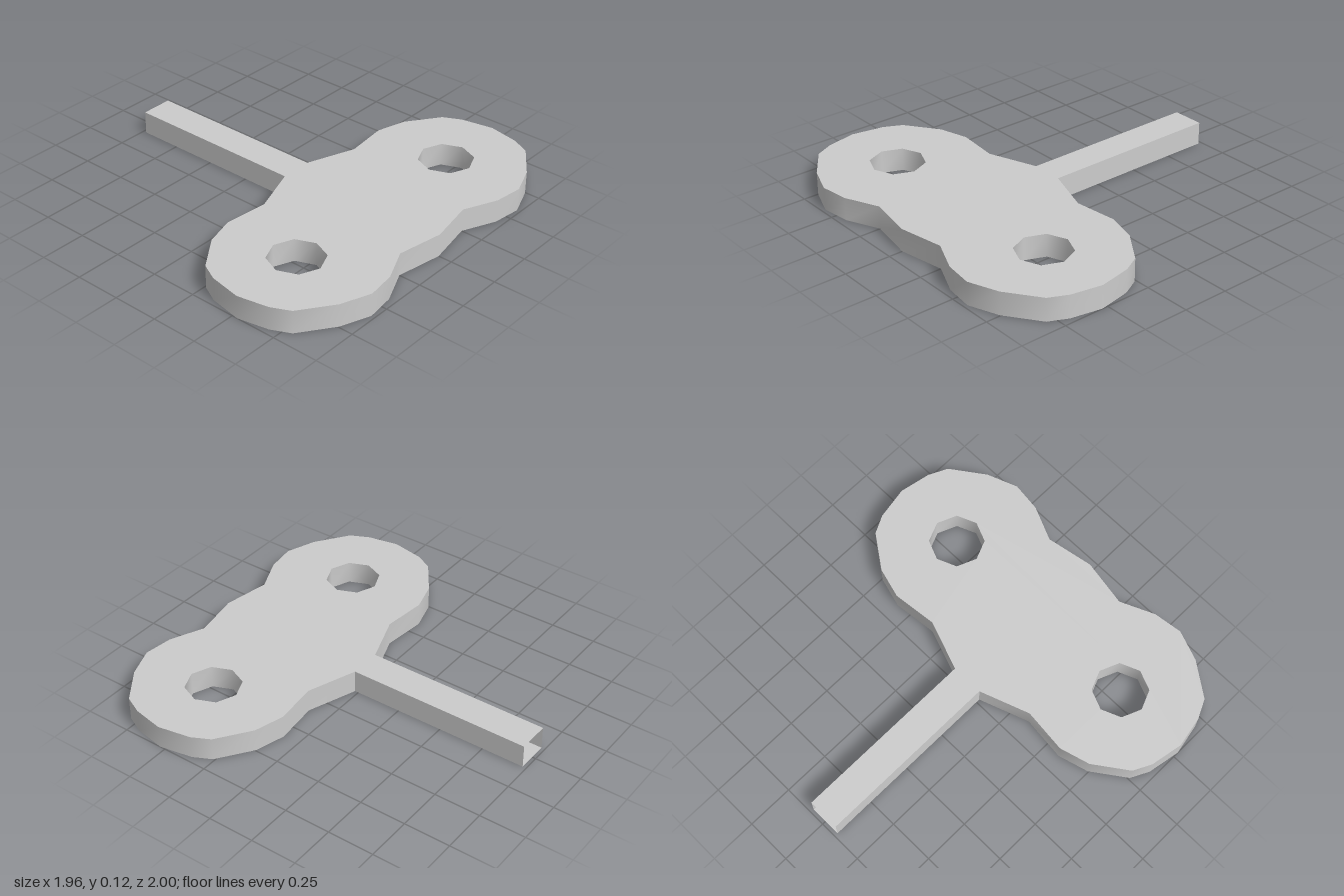
import * as THREE from 'three';
import { toCreasedNormals } from 'three/addons/utils/BufferGeometryUtils.js';

const HEIGHT = 0.125;

// Half of the outline as [x, z], from the shaft tip round the lobe to the nose
const half = [
  [-0.98, 0.087], [0.02, 0.087], [0.115, 0.35], [0.09, 0.585], [0.135, 0.745],
  [0.26, 0.92], [0.355, 0.968], [0.53, 1], [0.695, 0.968], [0.795, 0.92],
  [0.92, 0.745], [0.98, 0.585], [0.96, 0.43], [0.88, 0.25], [0.925, 0],
];
const outline = [...half, ...half.slice(0, -1).reverse().map(([x, z]) => [x, -z])];

// Eight-sided finger hole around a lobe centre
const holeAt = (cz) => Array.from({ length: 8 }, (_, i) => {
  const a = (i * Math.PI) / 4;
  return [0.53 + 0.146 * Math.cos(a), cz + 0.146 * Math.sin(a)];
});
const holes = [holeAt(0.587), holeAt(-0.587)];

// Upright wall following a path of [x, z] points
function wallGeometry(path) {
  const positions = [];
  for (let i = 0; i < path.length - 1; i++) {
    const [ax, az] = path[i];
    const [bx, bz] = path[i + 1];
    positions.push(ax, 0, az, bx, 0, bz, bx, HEIGHT, bz);
    positions.push(ax, 0, az, bx, HEIGHT, bz, ax, HEIGHT, az);
  }
  const geometry = new THREE.BufferGeometry();
  geometry.setAttribute('position', new THREE.Float32BufferAttribute(positions, 3));
  return toCreasedNormals(geometry, 0.8);
}

export function createModel() {
  const group = new THREE.Group();
  group.name = 'windUpKey';
  const material = new THREE.MeshStandardMaterial({ color: 0xcccccc, side: THREE.DoubleSide });
  const add = (name, geometry) => {
    const mesh = new THREE.Mesh(geometry, material);
    mesh.name = name;
    group.add(mesh);
    return mesh;
  };

  // Flat top and bottom plates with the finger holes
  const toVectors = (points) => points.map(([x, z]) => new THREE.Vector2(x, z));
  const shape = new THREE.Shape(toVectors(outline));
  shape.holes = holes.map((hole) => new THREE.Path(toVectors(hole)));
  add('topPlate', new THREE.ShapeGeometry(shape).rotateX(-Math.PI / 2)).position.y = HEIGHT;
  add('bottomPlate', new THREE.ShapeGeometry(shape).rotateX(Math.PI / 2));

  // Outer wall, left open at the shaft tip
  add('outerWall', wallGeometry(outline));

  // Hole walls, facing inward
  holes.forEach((hole, i) => {
    add(i === 0 ? 'frontHoleWall' : 'backHoleWall', wallGeometry([...hole, hole[0]]));
  });

  return group;
}
